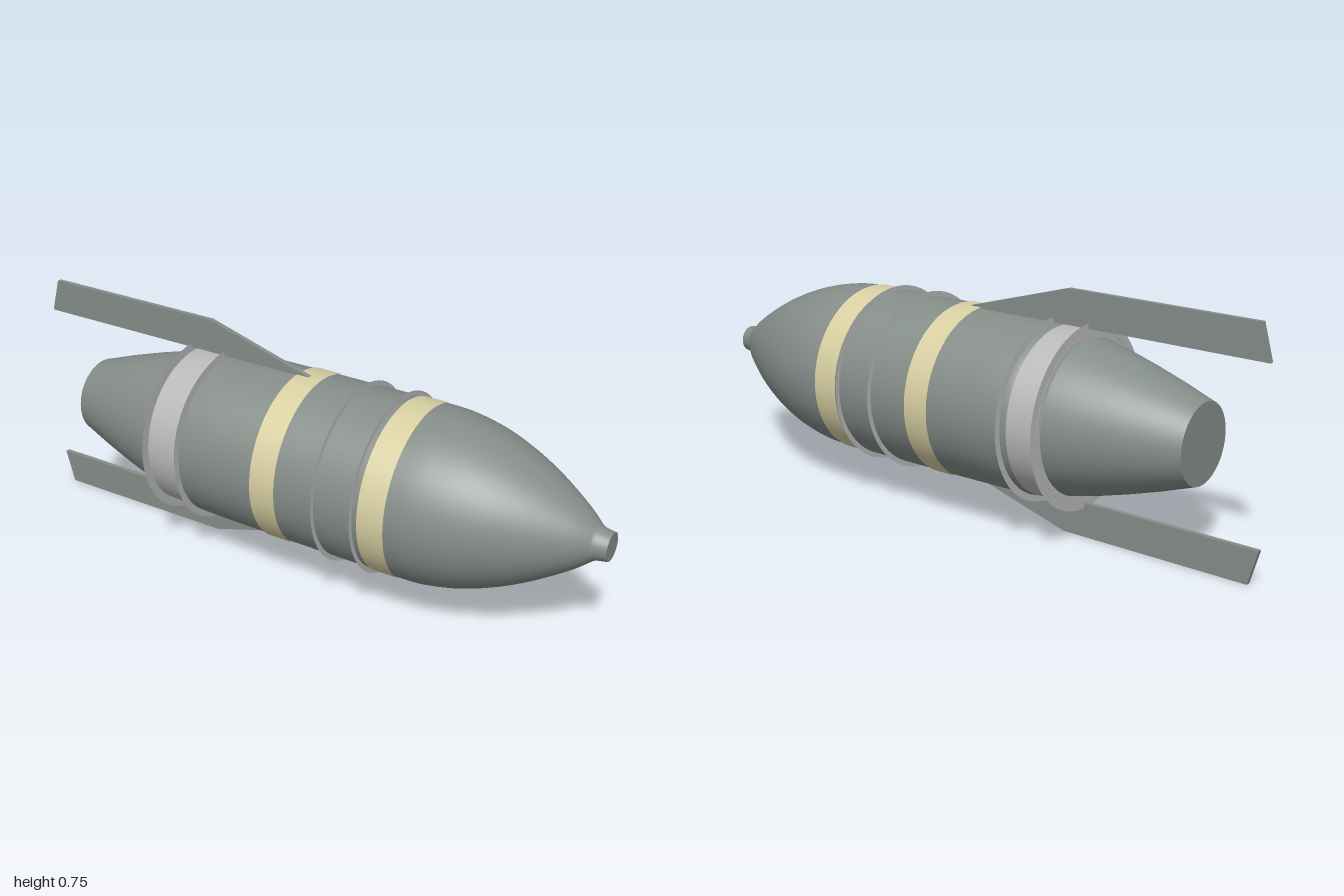
import * as THREE from 'three';

const AXIS_Y = 0.378;

export function createModel() {
  const mat = (name, color, side = THREE.FrontSide) => {
    const m = new THREE.MeshStandardMaterial({ color, side });
    m.name = name;
    return m;
  };
  const grey = mat('hull grey', 0x858d89);
  const cream = mat('band cream', 0xd8cfa2);
  const light = mat('light grey', 0xb9b8bb, THREE.DoubleSide);

  const model = new THREE.Group();
  model.name = 'rocketShell';

  const add = (name, geometry, material) => {
    const mesh = new THREE.Mesh(geometry, material);
    mesh.name = name;
    model.add(mesh);
    return mesh;
  };

  // Turned part along the x axis; the profile lists [x, radius] from tail to nose
  const turned = (name, profile, material) => {
    const g = new THREE.LatheGeometry(profile.map(([x, r]) => new THREE.Vector2(r, x)), 72);
    g.rotateZ(-Math.PI / 2);
    g.translate(0, AXIS_Y, 0);
    return add(name, g, material);
  };

  // Hull, split where the outline has a sharp corner
  turned('tailCap', [[-0.81, 0], [-0.81, 0.122]], grey);
  turned('tailCone', [[-0.81, 0.122], [-0.7, 0.16], [-0.6, 0.191], [-0.5, 0.219],
    [-0.42, 0.238], [-0.32, 0.256]], grey);
  turned('body', [[-0.32, 0.256], [-0.3, 0.262], [-0.2, 0.265], [0, 0.267], [0.42, 0.268]], grey);
  const nose = new THREE.SplineCurve([[0.42, 0.268], [0.5, 0.264], [0.6, 0.244], [0.7, 0.209],
    [0.8, 0.16], [0.9, 0.098], [0.955, 0.055]].map(([x, r]) => new THREE.Vector2(x, r)));
  turned('noseCone', nose.getPoints(28).map((p) => [p.x, p.y]), grey);
  turned('noseTip', [[0.955, 0.055], [0.965, 0.049], [1, 0.043]], grey);
  turned('noseTipCap', [[1, 0.043], [1, 0]], grey);

  // Painted bands
  for (const [name, x] of [['middleBand', 0.01], ['frontBand', 0.38]]) {
    turned(name, [[x - 0.043, 0.2705], [x + 0.043, 0.2705]], cream);
  }

  // Collar over the tail joint
  turned('collar', [[-0.425, 0.254], [-0.32, 0.259]], light);

  // Paper-thin flange rings
  for (const [name, x, inner] of [['rearFlange', -0.424, 0.235], ['collarFlange', -0.3, 0.25],
    ['middleFlange', 0.19, 0.262], ['frontFlange', 0.32, 0.262]]) {
    const g = new THREE.RingGeometry(inner, 0.283, 72);
    g.rotateY(Math.PI / 2);
    g.translate(x, AXIS_Y, 0);
    add(name, g, light);
  }

  // Swept fins above and below
  for (const [name, s] of [['topFin', 1], ['bottomFin', -1]]) {
    const pts = [[-1, 0.267], [0.02, 0.267], [-0.35, 0.375], [-0.97, 0.375]];
    const shape = new THREE.Shape(pts.map(([x, h]) => new THREE.Vector2(x, AXIS_Y + s * h)));
    const g = new THREE.ExtrudeGeometry(shape, { depth: 0.015, bevelEnabled: false });
    g.translate(0, 0, -0.0075);
    add(name, g, grey);
  }

  return model;
}
